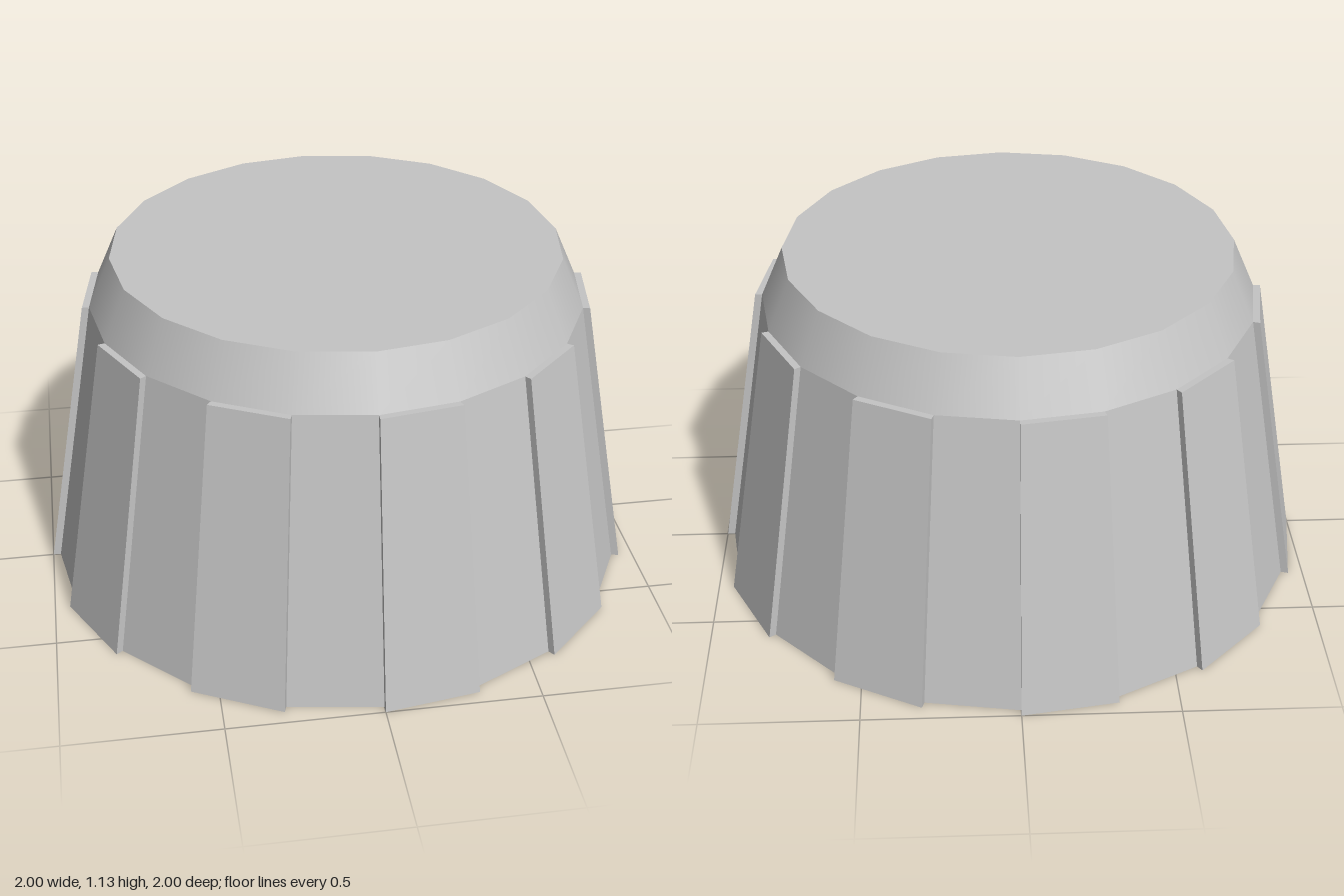
import * as THREE from 'three';

const SIDES = 20;
const STEP = (Math.PI * 2) / SIDES;
const SHOULDER = 0.96, HEIGHT = 1.13;
const CORE_LOW = 0.975, CORE_HIGH = 0.81;
const RIB_LOW = 1, RIB_HIGH = 0.833;
const TOP_RADIUS = 0.735;

// Flat normals for a faceted part
function faceted(geometry) {
  const flat = geometry.toNonIndexed();
  flat.computeVertexNormals();
  return flat;
}

// Box bent into one tapered sector between the core and the rib surface
function ribGeometry() {
  const geometry = new THREE.BoxGeometry(1, 1, 1);
  const pos = geometry.attributes.position;
  for (let i = 0; i < pos.count; i++) {
    const angle = (pos.getX(i) + 0.5) * STEP;
    const high = pos.getY(i) > 0;
    const outer = pos.getZ(i) > 0;
    const radius = high ? (outer ? RIB_HIGH : CORE_HIGH) : (outer ? RIB_LOW : CORE_LOW);
    pos.setXYZ(i, Math.sin(angle) * radius, high ? SHOULDER : 0, Math.cos(angle) * radius);
  }
  return faceted(geometry);
}

export function createModel() {
  const model = new THREE.Group();
  model.name = 'ribbedCap';
  const grey = new THREE.MeshStandardMaterial({ color: 0xc4c4c4 });
  grey.name = 'light grey';

  const add = (name, geometry, y = 0) => {
    const mesh = new THREE.Mesh(geometry, grey);
    mesh.name = name;
    mesh.position.y = y;
    model.add(mesh);
    return mesh;
  };

  // Faceted tapered core
  add('core', faceted(new THREE.CylinderGeometry(CORE_HIGH, CORE_LOW, SHOULDER, SIDES)), SHOULDER / 2);

  // Smooth bevel with the flat top
  add('bevelledTop', new THREE.CylinderGeometry(TOP_RADIUS, CORE_HIGH, HEIGHT - SHOULDER, SIDES),
    (SHOULDER + HEIGHT) / 2);

  // Grip ribs on every second facet
  const rib = ribGeometry();
  for (let i = 0; i < SIDES; i += 2) add('gripRib', rib).rotation.y = i * STEP;

  return model;
}
